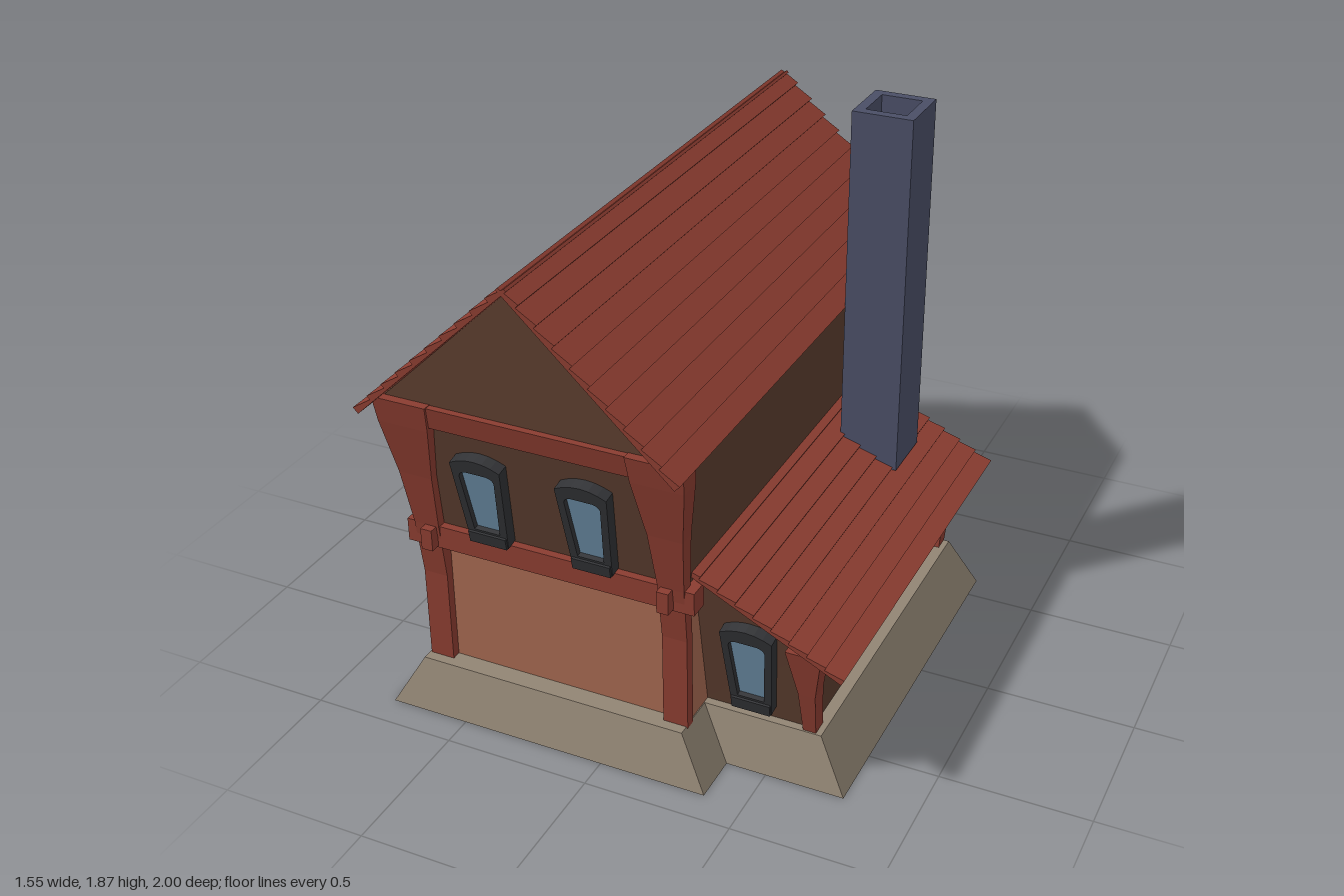
import * as THREE from 'three';

const mat = (name, color, side = THREE.FrontSide) => {
  const m = new THREE.MeshStandardMaterial({ color, side });
  m.name = name;
  return m;
};

// Flat-shaded solid through cross-sections of [x, y, z], ordered front-left, front-right, back
function loft(sections, bottom = true) {
  const pos = [];
  const tri = (a, b, c) => pos.push(...a, ...b, ...c);
  const n = sections[0].length;
  for (let s = 0; s < sections.length - 1; s++) {
    const lo = sections[s], hi = sections[s + 1];
    for (let i = 0; i < n; i++) {
      const j = (i + 1) % n;
      tri(lo[i], lo[j], hi[j]);
      tri(lo[i], hi[j], hi[i]);
    }
  }
  const cap = (sec, flip) => {
    const faces = THREE.ShapeUtils.triangulateShape(sec.map(p => new THREE.Vector2(p[0], -p[2])), []);
    for (const [a, b, c] of faces) flip ? tri(sec[a], sec[c], sec[b]) : tri(sec[a], sec[b], sec[c]);
  };
  cap(sections.at(-1), false);
  if (bottom) cap(sections[0], true);
  const g = new THREE.BufferGeometry();
  g.setAttribute('position', new THREE.Float32BufferAttribute(pos, 3));
  g.computeVertexNormals();
  return g;
}

const rect = (xa, xb, y, za, zb) => {
  const [x0, x1, z0, z1] = [Math.min(xa, xb), Math.max(xa, xb), Math.min(za, zb), Math.max(za, zb)];
  return [[x0, y, z1], [x1, y, z1], [x1, y, z0], [x0, y, z0]];
};

// Slope of overlapping boards from ridge to eave
function boards(x0, y0, x1, y1, rows, z0, z1, step) {
  const dx = x1 - x0, dy = y1 - y0, len = Math.hypot(dx, dy), s = Math.sign(dx);
  const nx = -dy * s / len, ny = dx * s / len;
  const at = (t, off) => new THREE.Vector2(x0 + dx * t + nx * off, y0 + dy * t + ny * off);
  const pts = [];
  for (let i = 0; i < rows; i++) pts.push(at(i / rows, -step), at((i + 1) / rows, 0));
  pts.push(at(1, -step - 0.01), at(0, -step - 0.01));
  const g = new THREE.ExtrudeGeometry(new THREE.Shape(pts), { depth: z1 - z0, bevelEnabled: false });
  return g.translate(0, 0, z0);
}

export function createModel() {
  const red = mat('red timber', 0x8a3c30);
  const brown = mat('brown boards', 0x5a3c2e);
  const clay = mat('clay wall', 0xa2674f);
  const stone = mat('foundation stone', 0x918473, THREE.DoubleSide);
  const slate = mat('chimney slate', 0x4a4e66);
  const iron = mat('dark iron', 0x303134);
  const glass = mat('window glass', 0x6888a0);

  const model = new THREE.Group();
  model.name = 'house';
  const add = (name, geo, material, parent = model) => {
    const m = new THREE.Mesh(geo, material);
    m.name = name;
    parent.add(m);
    return m;
  };
  const box = (name, x0, x1, y0, y1, z0, z1, material, parent) =>
    add(name, new THREE.BoxGeometry(x1 - x0, y1 - y0, z1 - z0)
      .translate((x0 + x1) / 2, (y0 + y1) / 2, (z0 + z1) / 2), material, parent);
  const CX = -0.2;

  // Sloped L-shaped foundation, open underneath
  const outline = (o, zo, y) => [
    [-0.675 - o, 0.845 + zo], [0.265 + o, 0.845 + zo], [0.265 + o, 0.675 + zo], [0.665 + o, 0.675 + zo],
    [0.665 + o, -0.545 - zo], [0.265 + o, -0.545 - zo], [0.265 + o, -0.845 - zo], [-0.675 - o, -0.845 - zo],
  ].map(([x, z]) => [x, y, z]);
  add('foundation', loft([outline(0.1, 0.05, 0), outline(0, 0, 0.175)], false), stone);

  // Lower walls and floors
  box('lowerWalls', CX - 0.462, CX + 0.462, 0.01, 0.67, -0.778, 0.778, clay);
  box('mainFloor', CX - 0.462, CX + 0.462, 0.002, 0.01, -0.778, 0.778, brown);
  box('annexBase', 0.25, 0.62, 0.01, 0.17, -0.52, 0.645, clay);
  box('annexFloor', 0.25, 0.62, 0.002, 0.01, -0.52, 0.645, brown);

  // Upper storey leaning outwards, and the gable block
  add('upperWalls', loft([
    rect(CX - 0.464, CX + 0.464, 0.66, -0.795, 0.795),
    rect(CX - 0.51, CX + 0.51, 1.19, -0.9, 0.9),
  ]), brown);
  const gable = new THREE.Shape([[-0.505, 1.18], [0.505, 1.18], [0, 1.665]]
    .map(([x, y]) => new THREE.Vector2(CX + x, y)));
  add('gable', new THREE.ExtrudeGeometry(gable, { depth: 1.81, bevelEnabled: false }).translate(0, 0, -0.905), brown);

  // Corner posts: [y, inner x, outer x, inner z, outer z]
  const post = [
    [0.17, 0.385, 0.47, 0.772, 0.81], [0.5, 0.385, 0.47, 0.772, 0.81], [0.7, 0.385, 0.474, 0.79, 0.836],
    [0.9, 0.372, 0.49, 0.815, 0.872], [1.1, 0.342, 0.518, 0.84, 0.918], [1.19, 0.335, 0.524, 0.85, 0.935],
  ];
  for (const f of [1, -1]) {
    for (const s of [1, -1]) {
      add('cornerPost', loft(post.map(([y, xi, xo, zi, zo]) =>
        rect(CX + s * xi, CX + s * xo, y, f * zi, f * zo))), red);
      box('beamEnd', CX + s * 0.415 - 0.02, CX + s * 0.415 + 0.02, 0.625, 0.7, f * 0.82 - 0.045, f * 0.82 + 0.045, red);
    }
    // Cross beams of the two end walls
    box('middleBeam', CX - 0.505, CX + 0.505, 0.62, 0.7, f * 0.795 - 0.035, f * 0.795 + 0.035, red);
    add('topBeam', loft([
      rect(CX - 0.518, CX + 0.518, 1.11, f * 0.85, f * 0.91),
      rect(CX - 0.522, CX + 0.522, 1.188, f * 0.86, f * 0.928),
    ]), red);
  }
  for (const s of [1, -1]) {
    const x = CX + s * 0.44;
    box('sideBeam', x - 0.034, x + 0.034, 0.62, 0.7, -0.79, 0.79, red);
  }

  // Main roof
  for (const s of [1, -1]) {
    add('mainRoof', boards(CX - 0.003, 1.695, CX + s * 0.545, 1.18, 10, -1, 1, 0.015), red);
  }

  // Annex: walls, posts and lean-to roof
  add('annexWalls', loft([
    rect(0.24, 0.625, 0.165, -0.52, 0.645),
    [[0.24, 0.72, 0.743], [0.655, 0.51, 0.704], [0.655, 0.51, -0.58], [0.24, 0.72, -0.62]],
  ]), brown);
  for (const [zi, zo, ti, to] of [[0.61, 0.668, 0.66, 0.735], [-0.49, -0.548, -0.54, -0.632]]) {
    const mi = (zi + ti) / 2, mo = (zo + to) / 2;
    add('annexPost', loft([
      rect(0.602, 0.645, 0.17, zi, zo),
      rect(0.595, 0.652, 0.335, mi, mo),
      rect(0.562, 0.68, 0.505, ti, to),
    ]), red);
  }
  add('annexRoof', boards(0.24, 0.757, 0.772, 0.49, 9, -0.64, 0.775, 0.012), red);

  // Hollow square chimney
  const shaft = (inset, y) => rect(0.342 + inset, 0.548 - inset, y, -0.47 + inset, -0.257 - inset);
  add('chimney', loft([shaft(0, 0.6), shaft(0, 1.865), shaft(0.034, 1.865), shaft(0.034, 1.5)]), slate);

  // Arched, tapering windows
  const frame = new THREE.Shape();
  frame.moveTo(-0.068, 0).lineTo(0.068, 0).lineTo(0.0875, 0.312);
  frame.quadraticCurveTo(0, 0.362, -0.0875, 0.312);
  const pane = new THREE.Path();
  pane.moveTo(-0.045, 0.05).lineTo(0.045, 0.05).lineTo(0.061, 0.265);
  pane.quadraticCurveTo(0.058, 0.283, 0.035, 0.286).lineTo(-0.035, 0.286);
  pane.quadraticCurveTo(-0.058, 0.283, -0.061, 0.265);
  frame.holes.push(pane);
  const frameGeo = new THREE.ExtrudeGeometry(frame, { depth: 0.06, bevelEnabled: false, curveSegments: 6 }).translate(0, 0, -0.02);
  const paneGeo = new THREE.ShapeGeometry(new THREE.Shape(pane.getPoints(4))).translate(0, 0, 0.022);
  for (const [x, y, z, tilt] of [[-0.393, 0.705, 0.806, 0.195], [-0.03, 0.705, 0.806, 0.195], [0.437, 0.225, 0.655, 0.178]]) {
    const w = new THREE.Group();
    w.name = 'window';
    add('windowFrame', frameGeo, iron, w);
    add('windowPane', paneGeo, glass, w);
    box('windowSill', -0.066, 0.066, 0, 0.042, 0, 0.048, iron, w);
    w.position.set(x, y, z);
    w.rotation.x = tilt;
    model.add(w);
  }

  // Back door with straps and ring handle
  box('door', -0.33, -0.06, 0.175, 0.6, -0.784, -0.775, clay);
  for (const y of [0.5, 0.25]) {
    box('doorStrap', -0.29, -0.06, y - 0.012, y + 0.012, -0.79, -0.782, red);
    for (const x of [-0.08, -0.28]) box('strapStud', x - 0.012, x + 0.012, y - 0.02, y + 0.02, -0.796, -0.782, red);
  }
  box('handlePlate', -0.305, -0.265, 0.36, 0.4, -0.79, -0.782, iron);
  add('handleRing', new THREE.TorusGeometry(0.019, 0.005, 6, 10).translate(-0.285, 0.365, -0.795), iron);

  return model;
}
